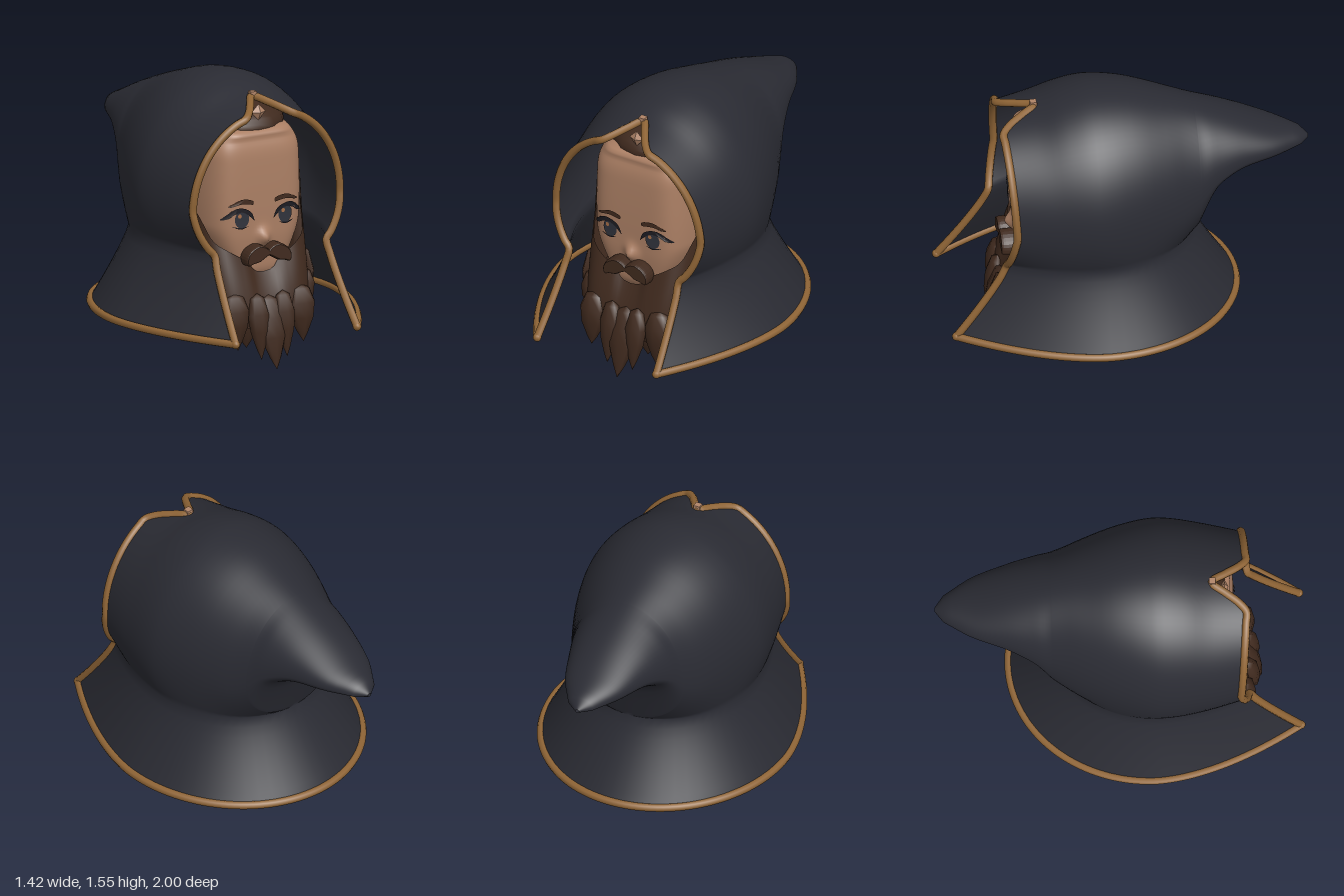
import * as THREE from 'three';
import { mergeGeometries, mergeVertices } from 'three/addons/utils/BufferGeometryUtils.js';

const mat = (name, color, double) => {
  const m = new THREE.MeshStandardMaterial({ color });
  m.name = name;
  if (double) m.side = THREE.DoubleSide;
  return m;
};

// Smooth interpolation through [key, value] pairs sorted by key
function table(pairs) {
  const slope = (i) => {
    const a = pairs[Math.max(0, i - 1)], b = pairs[Math.min(pairs.length - 1, i + 1)];
    return (b[1] - a[1]) / (b[0] - a[0]);
  };
  return (k) => {
    if (k <= pairs[0][0]) return pairs[0][1];
    const i = pairs.findIndex((p) => p[0] >= k) - 1;
    if (i < 0) return pairs[pairs.length - 1][1];
    const [x0, y0] = pairs[i], [x1, y1] = pairs[i + 1], h = x1 - x0, t = (k - x0) / h;
    const t2 = t * t, t3 = t2 * t;
    return y0 * (2 * t3 - 3 * t2 + 1) + y1 * (3 * t2 - 2 * t3)
      + h * (slope(i) * (t3 - 2 * t2 + t) + slope(i + 1) * (t3 - t2));
  };
}

// Surface from a rule fn(u, v) with u and v from 0 to 1
function surface(nu, nv, fn) {
  const pos = [], idx = [];
  for (let j = 0; j <= nv; j++) for (let i = 0; i <= nu; i++) pos.push(...fn(i / nu, j / nv));
  for (let j = 0; j < nv; j++) for (let i = 0; i < nu; i++) {
    const a = j * (nu + 1) + i, b = a + nu + 1;
    idx.push(a, a + 1, b, a + 1, b + 1, b);
  }
  const g = new THREE.BufferGeometry();
  g.setAttribute('position', new THREE.Float32BufferAttribute(pos, 3));
  g.setIndex(idx);
  g.computeVertexNormals();
  return g;
}

// Hood: half width, crest, underside and widest height along z
const width = table([[-1, 0.012], [-0.985, 0.05], [-0.93, 0.09], [-0.8, 0.17], [-0.6, 0.245], [-0.4, 0.325],
  [-0.2, 0.42], [0, 0.495], [0.2, 0.535], [0.45, 0.505], [0.7, 0.45]]);
const crest = table([[-1, 1.13], [-0.975, 1.165], [-0.8, 1.24], [-0.6, 1.33], [-0.4, 1.41], [-0.2, 1.48],
  [0, 1.54], [0.2, 1.56], [0.35, 1.535], [0.5, 1.485], [0.7, 1.44]]);
const under = table([[-1, 1.11], [-0.8, 1.075], [-0.62, 1.05], [-0.53, 1.01], [-0.475, 0.97],
  [-0.445, 0.9], [-0.41, 0.8], [-0.37, 0.68]]);
const middle = table([[-1, 1.12], [-0.8, 1.14], [-0.6, 1.13], [-0.45, 1.06], [-0.37, 0.98], [-0.25, 0.93], [0.7, 0.93]]);

// Neck and hem outlines: p = 1 front edge, 0 middle of the back
function outline(p) {
  if (p > 0.5) {
    const q = 2 * p - 1;
    return { nx: 0.49 - 0.14 * q * q, nz: 0.17 + 0.53 * q, hx: 0.69 - 0.31 * q ** 1.7, hz: 0.17 + 0.81 * q };
  }
  const f = (1 - 2 * p) * Math.PI / 2, c = p === 0 ? 0 : Math.cos(f), s = Math.sin(f);
  return { nx: 0.49 * c, nz: 0.17 - 0.54 * s, hx: 0.69 * c, hz: 0.17 - 0.77 * s };
}
function skirtPoint(u, v) {
  const p = 1 - 2 * u, o = outline(Math.abs(p)), f = v ** 1.2;
  const x = o.nx + (o.hx - o.nx) * f;
  return [p < 0 ? -x : x, 0.68 - 0.43 * v, o.nz + (o.hz - o.nz) * f];
}
function cowlPoint(u, v) {
  const o = v <= 0.6 ? outline(Math.max(0, 1 - v / 0.6)) : { nx: 0, nz: -0.37 - 0.63 * ((v - 0.6) / 0.4) ** 1.5 };
  const z0 = o.nz, start = -Math.acos(Math.min(1, o.nx / width(z0)));
  const a = start + (Math.PI - 2 * start) * u;
  // Front edge with a notch at the top
  const d = Math.min(a, Math.PI - a), notch = 1.28;
  const front = d < 0 ? 0.655 + 0.045 * d / start
    : d < notch ? 0.655 + 0.035 * d / notch : 0.69 - 0.19 * (d - notch) / (Math.PI / 2 - notch);
  const z = z0 > 0.2 ? 0.2 + (z0 - 0.2) * (front - 0.2) / 0.5 : z0;
  const c = middle(z), s = Math.sin(a);
  const y = s >= 0 ? c + (crest(z) - c) * s : c + (c - under(z0)) * s / Math.sin(-start);
  return [width(z) * Math.cos(a), y, z];
}

// Face: half width and front depth by height
const faceWidth = table([[0.42, 0.02], [0.44, 0.1], [0.5, 0.17], [0.6, 0.23], [0.7, 0.28], [0.8, 0.31], [1.17, 0.31],
  [1.24, 0.297], [1.29, 0.262], [1.325, 0.2], [1.34, 0.02]]);
const faceFront = table([[0.42, 0.3], [0.44, 0.47], [0.5, 0.58], [0.62, 0.605], [0.75, 0.62], [1.15, 0.62],
  [1.26, 0.6], [1.325, 0.55], [1.34, 0.3]]);
function faceZ(x, y) {
  const r = Math.min(1, Math.abs(x / faceWidth(y)));
  const nose = 0.045 * Math.exp(-((x / 0.035) ** 2) - ((y - 0.72) / 0.045) ** 2);
  return 0.2 + (faceFront(y) - 0.2) * (1 - r ** 6) ** 0.4 + nose;
}

// Beard edges by distance from the middle
const beardTop = table([[0, 0.53], [0.06, 0.545], [0.1, 0.6], [0.14, 0.62], [0.22, 0.67], [0.28, 0.72], [0.31, 0.81], [0.345, 0.96]]);
const beardBottom = table([[0, 0.22], [0.2, 0.26], [0.3, 0.32], [0.345, 0.42]]);
function beardPoint(u, v) {
  const x = -0.345 * Math.sin((u - 0.5) * Math.PI), ax = Math.abs(x);
  const y = beardTop(ax) + (beardBottom(ax) - beardTop(ax)) * v;
  const depth = 0.405 + 0.085 * Math.sin(v * Math.PI / 2);
  return [x, y, 0.22 + depth * Math.max(0, 1 - (ax / 0.345) ** 5) ** 0.4];
}

export function createModel() {
  const root = new THREE.Group();
  root.name = 'hoodedHead';
  const cloth = mat('charcoal cloth', 0x2a2b33, true);
  const trim = mat('bronze trim', 0x906536, true);
  const skin = mat('skin', 0xab7f64, true);
  const hair = mat('brown hair', 0x402a1e, true);
  const lash = mat('dark lash', 0x1d1c22);
  const iris = mat('slate iris', 0x30333c);
  const glint = mat('eye glint', 0xa86f48);
  const clasp = mat('copper clasp', 0xb08468);
  const add = (name, geo, material) => {
    const m = new THREE.Mesh(geo, material);
    m.name = name;
    root.add(m);
    return m;
  };

  // Hood cloth: cowl and skirt welded smoothly at the neck
  const parts = [surface(60, 50, cowlPoint), surface(60, 8, skirtPoint)];
  parts.forEach((g) => g.deleteAttribute('normal'));
  const hood = mergeVertices(mergeGeometries(parts), 1e-4);
  hood.computeVertexNormals();
  add('hood', hood, cloth);

  // Trim around the hem and face opening
  const tube = (name, pts, n) => add(name, new THREE.TubeGeometry(
    new THREE.CatmullRomCurve3(pts.map((p) => new THREE.Vector3(...p))), n, 0.022, 8), trim);
  const hem = [], opening = [];
  for (let i = 0; i <= 60; i++) hem.push(skirtPoint(i / 60, 1));
  for (let i = 0; i < 6; i++) opening.push(skirtPoint(0, 1 - i / 6));
  for (let i = 0; i <= 40; i++) opening.push(cowlPoint(i / 40, 0));
  for (let i = 1; i <= 6; i++) opening.push(skirtPoint(1, i / 6));
  tube('hemTrim', hem, 120);
  tube('openingTrim', opening, 200);
  for (const u of [0, 1]) add('trimEnd', new THREE.SphereGeometry(0.024, 10, 8), trim).position.set(...skirtPoint(u, 1));

  // Clasp at the peak of the opening
  add('claspBlock', new THREE.BoxGeometry(0.036, 0.035, 0.036), clasp).position.set(0, 1.495, 0.505);
  const drop = add('claspDrop', new THREE.OctahedronGeometry(0.045), clasp);
  drop.position.set(0, 1.41, 0.57);
  drop.scale.z = 0.5;

  // Face shell with a rounded chin
  add('face', surface(64, 64, (u, v) => {
    const y = 0.42 + 0.92 * v, x = faceWidth(y) * Math.sin((u - 0.5) * Math.PI);
    return [x, y, faceZ(x, y)];
  }), skin);

  // Thin painted plates laid on the face
  const plate = (name, pts, material, lift, s) => {
    const shape = new THREE.Shape();
    shape.setFromPoints(new THREE.SplineCurve(pts.map(([x, y]) => new THREE.Vector2(x * s, y))).getPoints(32));
    const g = new THREE.ShapeGeometry(shape), p = g.attributes.position;
    for (let i = 0; i < p.count; i++) p.setZ(i, faceZ(p.getX(i), p.getY(i)) + lift);
    g.computeVertexNormals();
    add(name, g, material);
  };
  const oval = (x, y, rx, ry) => Array.from({ length: 17 }, (_, i) =>
    [x + rx * Math.cos(i * Math.PI / 8), y + ry * Math.sin(i * Math.PI / 8)]);
  for (const s of [-1, 1]) {
    plate('iris', oval(0.135, 0.837, 0.043, 0.05), iris, 0.006, s);
    plate('glint', oval(0.135 - 0.015 * s, 0.857, 0.011, 0.012), glint, 0.0085, s);
    plate('upperLash', [[0.058, 0.82], [0.08, 0.872], [0.135, 0.9], [0.19, 0.893], [0.25, 0.84],
      [0.215, 0.846], [0.18, 0.868], [0.135, 0.876], [0.098, 0.857], [0.058, 0.82]], lash, 0.009, s);
    plate('lowerLash', [[0.09, 0.797], [0.14, 0.781], [0.19, 0.8], [0.14, 0.79], [0.09, 0.797]], lash, 0.007, s);
    plate('eyebrow', [[0.068, 0.912], [0.072, 0.936], [0.14, 0.948], [0.212, 0.918], [0.2, 0.91], [0.14, 0.922], [0.068, 0.912]], hair, 0.008, s);
  }

  // Hair cap above the forehead
  const cap = add('hairCap', new THREE.SphereGeometry(1, 16, 8, 0, Math.PI * 2, 0, Math.PI / 2), hair);
  cap.scale.set(0.27, 0.13, 0.29);
  cap.position.set(0, 1.315, 0.3);

  // Beard body and hanging tufts
  add('beard', surface(48, 12, beardPoint), hair);
  const leaf = new THREE.LatheGeometry([[0, -1], [0.38, -0.84], [0.85, -0.58], [1, -0.32], [0.65, -0.07], [0, 0]]
    .map(([x, y]) => new THREE.Vector2(x, y)), 8);
  const tuft = (name, x, y, z, w, len, depth, tilt) => {
    const m = add(name, leaf, hair);
    m.position.set(x, y, z);
    m.scale.set(w, len, depth);
    m.rotation.x = tilt;
  };
  tuft('middleTuft', 0, 0.41, 0.675, 0.09, 0.41, 0.05, -0.24);
  for (const s of [-1, 1]) {
    tuft('innerTuft', 0.08 * s, 0.43, 0.69, 0.065, 0.365, 0.05, -0.15);
    tuft('outerTuft', 0.205 * s, 0.44, 0.665, 0.085, 0.315, 0.06, -0.12);
    tuft('cornerTuft', 0.28 * s, 0.5, 0.57, 0.06, 0.25, 0.06, -0.1);
    tuft('backTuft', 0.1 * s, 0.4, 0.6, 0.1, 0.29, 0.06, -0.05);
    tuft('lowerSideLock', 0.33 * s, 0.6, 0.46, 0.035, 0.4, 0.12, -0.1);
    const lock = add('sideLock', new THREE.ConeGeometry(0.045, 0.5, 6), hair);
    lock.position.set(0.325 * s, 0.77, 0.42);
    lock.rotation.z = -0.08 * s;
    lock.scale.z = 2.5;
  }

  // Moustache lobes
  for (const s of [-1, 1]) {
    const shape = new THREE.Shape(new THREE.SplineCurve([[0, 0.658], [0.03, 0.68], [0.07, 0.685], [0.115, 0.66], [0.134, 0.625],
      [0.128, 0.592], [0.1, 0.6], [0.06, 0.607], [0.03, 0.625], [0, 0.64]].map(([x, y]) => new THREE.Vector2(x * s, y))).getPoints(24));
    const g = new THREE.ExtrudeGeometry(shape, { depth: 0.035, bevelEnabled: true, bevelThickness: 0.025, bevelSize: 0.007, bevelSegments: 3 });
    add('moustache', g, hair).position.z = 0.635;
  }
  return root;
}
